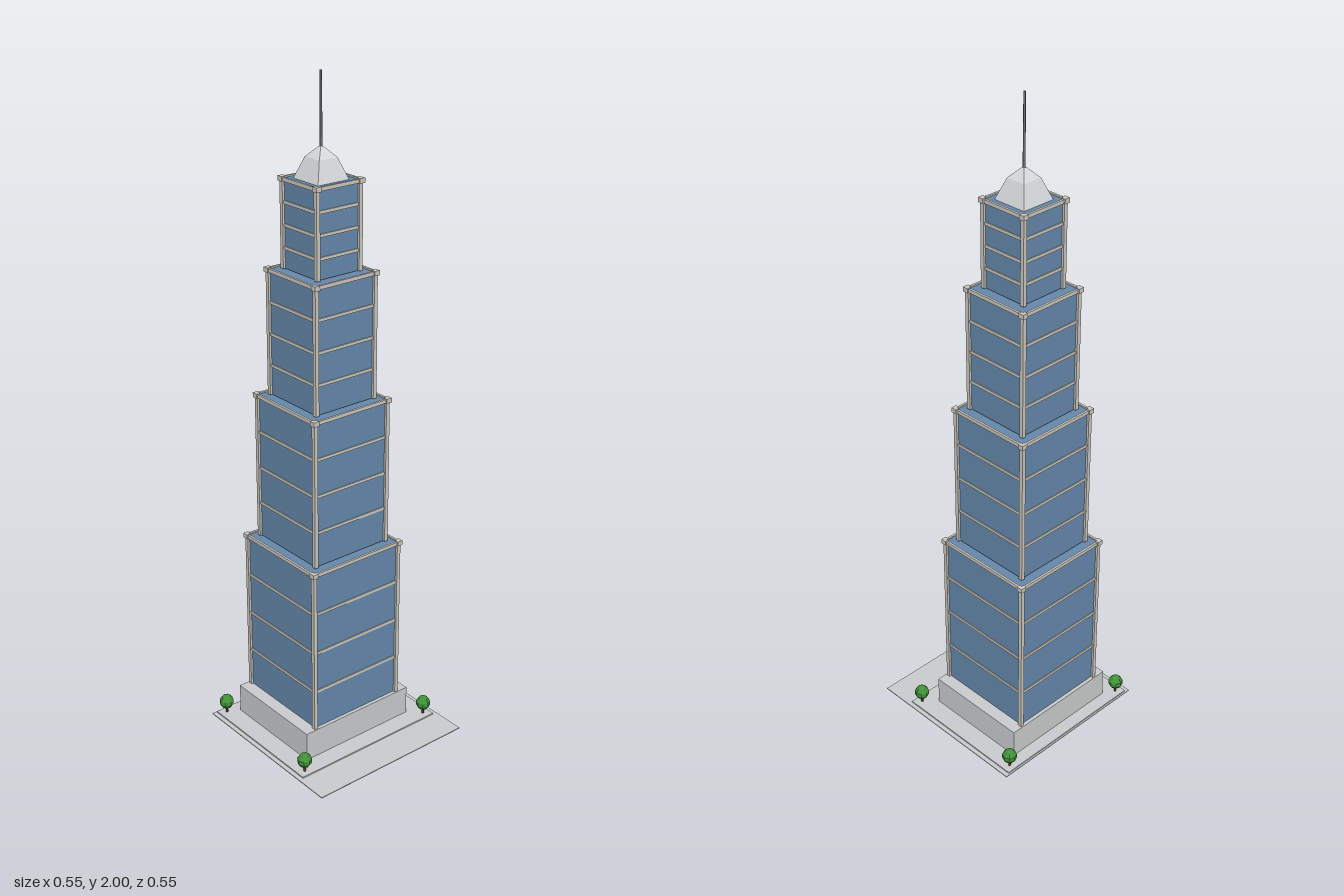
import * as THREE from 'three';

const mat = (name, color, flat = false) => {
  const m = new THREE.MeshStandardMaterial({ color, flatShading: flat });
  m.name = name;
  return m;
};

export function createModel() {
  const stone = mat('pavingStone', 0xcbcccd);
  const glass = mat('blueGlass', 0x6588ac);
  const trim = mat('paleTrim', 0xcdc9c1);
  const metal = mat('crownMetal', 0xd6d9da, true);
  const dark = mat('mastMetal', 0x6a6f78);
  const leaf = mat('leafGreen', 0x43923a, true);
  const bark = mat('bark', 0x5c4026);

  const root = new THREE.Group();
  root.name = 'skyscraper';

  // box given by its centre in plan and its bottom and top heights
  const box = (parent, name, m, w, d, y0, y1, x = 0, z = 0) => {
    const mesh = new THREE.Mesh(new THREE.BoxGeometry(w, y1 - y0, d), m);
    mesh.position.set(x, (y0 + y1) / 2, z);
    mesh.name = name;
    parent.add(mesh);
    return mesh;
  };

  // vertical prism from a plan outline in x and z
  const prism = (parent, name, m, shape, y0, y1) => {
    const geo = new THREE.ExtrudeGeometry(shape, { depth: y1 - y0, bevelEnabled: false });
    geo.rotateX(-Math.PI / 2);
    const mesh = new THREE.Mesh(geo, m);
    mesh.position.y = y0;
    mesh.name = name;
    parent.add(mesh);
    return mesh;
  };
  const square = (h, Type = THREE.Shape) => {
    const s = new Type();
    s.moveTo(-h, -h).lineTo(h, -h).lineTo(h, h).lineTo(-h, h).closePath();
    return s;
  };
  const frame = (outer, inner) => {
    const s = square(outer);
    s.holes.push(square(inner, THREE.Path));
    return s;
  };
  // L outline for an outside corner
  const corner = (outer, inner, leg) => {
    const e = outer - leg;
    const s = new THREE.Shape();
    s.moveTo(outer, outer).lineTo(e, outer).lineTo(e, inner).lineTo(inner, inner);
    s.lineTo(inner, e).lineTo(outer, e).closePath();
    return s;
  };

  // site
  box(root, 'ground', stone, 0.545, 0.545, 0, 0.003);
  box(root, 'plaza', stone, 0.517, 0.435, 0.003, 0.007, 0, -0.05);
  const cz = -0.059;
  box(root, 'podium', stone, 0.394, 0.336, 0.007, 0.098, 0, cz);

  // stepped tower, each tier with glass, floor bands, piers and parapet
  const tower = new THREE.Group();
  tower.name = 'tower';
  tower.position.z = cz;
  root.add(tower);
  const tiers = [
    [0.098, 0.622, 0.168],
    [0.622, 1.078, 0.141],
    [1.078, 1.456, 0.114],
    [1.456, 1.714, 0.084],
  ];
  tiers.forEach(([y0, y1, cap], i) => {
    const tier = new THREE.Group();
    tier.name = `tier${i + 1}`;
    tower.add(tier);
    const g = cap - 0.011;
    box(tier, 'glassBody', glass, 2 * g, 2 * g, y0, y1 - 0.004);
    for (let k = 1; k < 4; k++) {
      const y = y0 + ((y1 - y0) * k) / 4 - 0.005;
      box(tier, 'floorBand', trim, 2 * g + 0.006, 2 * g + 0.006, y - 0.0045, y + 0.0045);
    }
    prism(tier, 'parapet', trim, frame(cap - 0.004, g), y1 - 0.011, y1);
    for (let k = 0; k < 4; k++) {
      const turn = (k * Math.PI) / 2;
      prism(tier, 'cornerPier', trim, corner(cap - 0.004, g - 0.001, 0.012), y0, y1 - 0.011).rotation.y = turn;
      prism(tier, 'pierCap', trim, corner(cap, g - 0.001, 0.018), y1 - 0.012, y1 + 0.002).rotation.y = turn;
    }
  });

  // faceted crown and mast
  const taper = (name, h0, h1, y0, y1) => {
    const r = Math.SQRT2;
    const mesh = new THREE.Mesh(new THREE.CylinderGeometry(h1 * r, h0 * r, y1 - y0, 4), metal);
    mesh.rotation.y = Math.PI / 4;
    mesh.position.y = (y0 + y1) / 2;
    mesh.name = name;
    tower.add(mesh);
  };
  taper('crownBase', 0.054, 0.031, 1.709, 1.77);
  taper('crownTop', 0.031, 0.004, 1.77, 1.799);
  const mast = new THREE.Mesh(new THREE.CylinderGeometry(0.003, 0.004, 0.21, 8), dark);
  mast.position.y = 1.895;
  mast.name = 'mast';
  tower.add(mast);

  // corner trees
  for (const x of [-0.235, 0.235]) {
    for (const z of [-0.247, 0.146]) {
      const tree = new THREE.Group();
      tree.name = 'tree';
      tree.position.set(x, 0.007, z);
      const trunk = new THREE.Mesh(new THREE.CylinderGeometry(0.003, 0.004, 0.024, 6), bark);
      trunk.position.y = 0.012;
      trunk.name = 'trunk';
      const crown = new THREE.Mesh(new THREE.SphereGeometry(0.023, 8, 5), leaf);
      crown.position.y = 0.038;
      crown.name = 'foliage';
      tree.add(trunk, crown);
      root.add(tree);
    }
  }
  return root;
}
